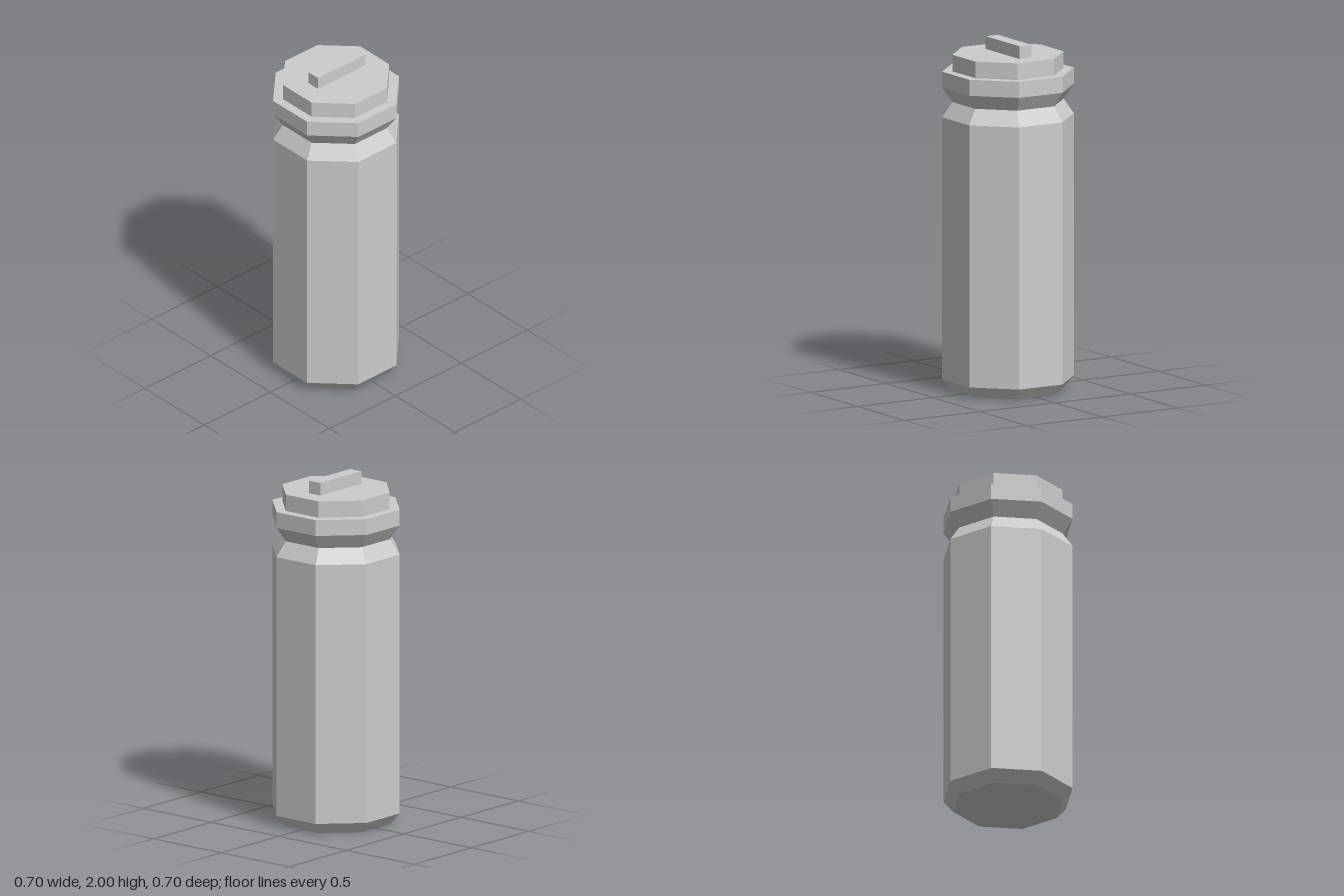
import * as THREE from 'three';

const SIDES = 8;

// Faceted octagonal solid from [apothem, y] pairs, with flat sides facing the axes
function octagon(name, profile, material) {
  const points = profile.map(([a, y]) => new THREE.Vector2(a / Math.cos(Math.PI / SIDES), y));
  const geometry = new THREE.LatheGeometry(points, SIDES, Math.PI / SIDES).toNonIndexed();
  geometry.computeVertexNormals();
  const mesh = new THREE.Mesh(geometry, material);
  mesh.name = name;
  return mesh;
}

export function createModel() {
  const grey = new THREE.MeshStandardMaterial({ color: 0xcccccc, flatShading: true });
  grey.name = 'light grey';

  const group = new THREE.Group();
  group.name = 'canister';

  // Body: chamfered base, straight wall, pinched neck and rim
  group.add(octagon('body', [
    [0, 0], [0.296, 0], [0.348, 0.066], [0.348, 1.57],
    [0.294, 1.656], [0.348, 1.74], [0.348, 1.832], [0, 1.832],
  ], grey));

  // Lid: narrower step on the rim
  group.add(octagon('lid', [[0.294, 1.832], [0.294, 1.927], [0, 1.927]], grey));

  // Handle: bar across the lid
  const handle = new THREE.Mesh(new THREE.BoxGeometry(0.082, 0.075, 0.358), grey);
  handle.name = 'handle';
  handle.position.set(0, 1.9625, -0.006);
  group.add(handle);

  return group;
}
